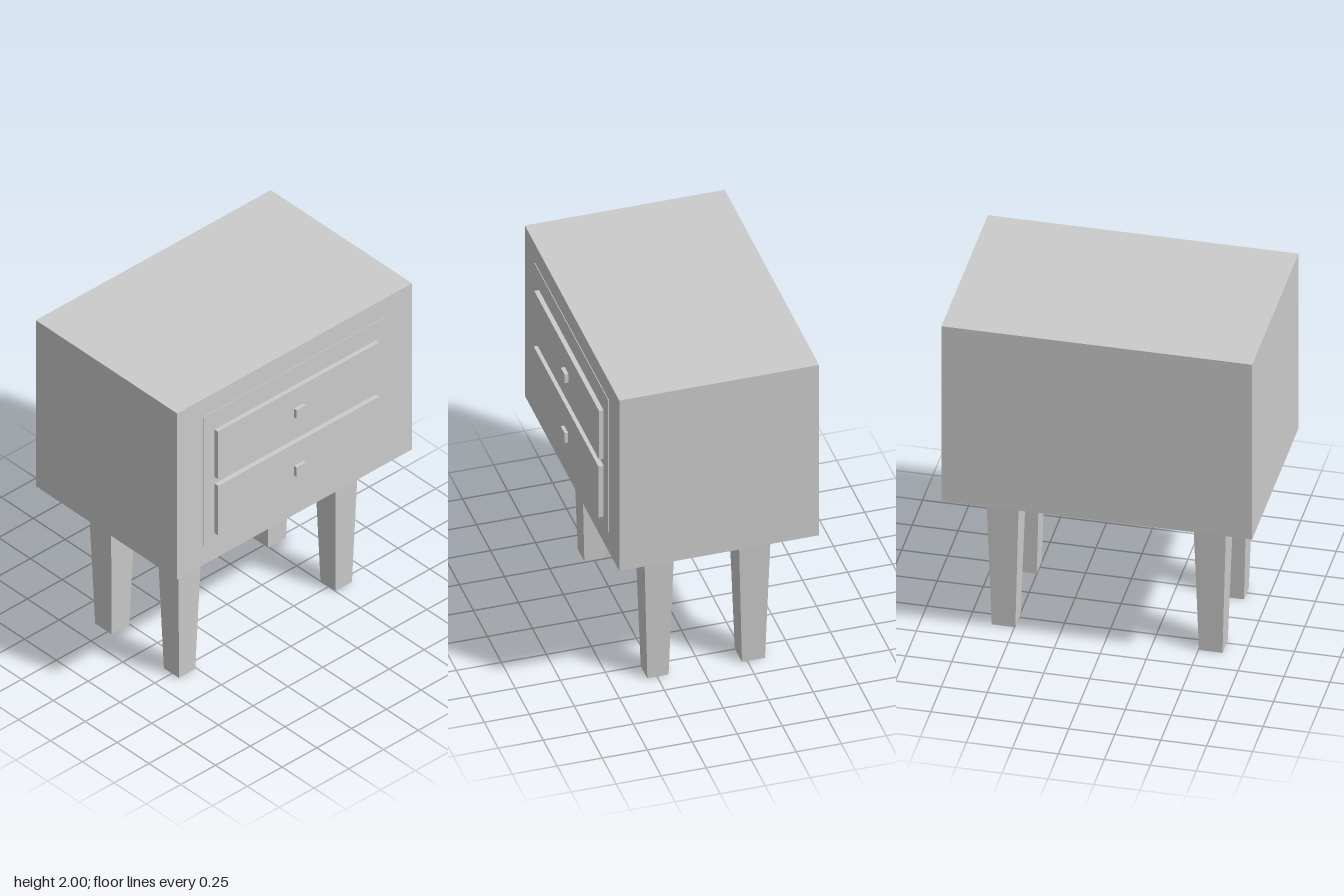
import * as THREE from 'three';

const material = new THREE.MeshStandardMaterial({ color: 0xcccccc });

// Box given by its limits on each axis
function block(name, [x0, x1], [y0, y1], [z0, z1]) {
  const mesh = new THREE.Mesh(new THREE.BoxGeometry(x1 - x0, y1 - y0, z1 - z0), material);
  mesh.position.set((x0 + x1) / 2, (y0 + y1) / 2, (z0 + z1) / 2);
  mesh.name = name;
  return mesh;
}

// Square leg narrowing towards the floor
function taperedLeg(name, x, z, height, topWidth, footWidth) {
  const geometry = new THREE.BoxGeometry(1, height, 1);
  const p = geometry.attributes.position;
  for (let i = 0; i < p.count; i++) {
    const w = p.getY(i) > 0 ? topWidth : footWidth;
    p.setX(i, p.getX(i) * w);
    p.setZ(i, p.getZ(i) * w);
  }
  geometry.computeVertexNormals();
  const mesh = new THREE.Mesh(geometry, material);
  mesh.position.set(x, height / 2, z);
  mesh.name = name;
  return mesh;
}

export function createModel() {
  const model = new THREE.Group();
  model.name = 'nightstand';

  // Cabinet with a barely raised front panel
  model.add(block('cabinet', [-0.845, 0.845], [0.895, 2], [-0.58, 0.53]));
  model.add(block('frontPanel', [-0.66, 0.66], [1.02, 1.88], [0.52, 0.534]));

  // Two drawers, each with a small square knob
  const drawers = [
    { name: 'upperDrawer', y: [1.445, 1.76], front: 0.56, knob: [1.578, 1.634] },
    { name: 'lowerDrawer', y: [1.07, 1.4], front: 0.563, knob: [1.19, 1.254] },
  ];
  for (const d of drawers) {
    const drawer = new THREE.Group();
    drawer.name = d.name;
    drawer.add(block('drawerFront', [-0.58, 0.58], d.y, [0.52, d.front]));
    drawer.add(block('knob', [-0.034, 0.034], d.knob, [0.55, 0.582]));
    model.add(drawer);
  }

  // Four legs
  for (const [side, x] of [['Left', 0.56], ['Right', -0.567]]) {
    model.add(taperedLeg('front' + side + 'Leg', x, 0.245, 0.9, 0.17, 0.118));
    model.add(taperedLeg('back' + side + 'Leg', x, -0.284, 0.9, 0.182, 0.128));
  }
  return model;
}
